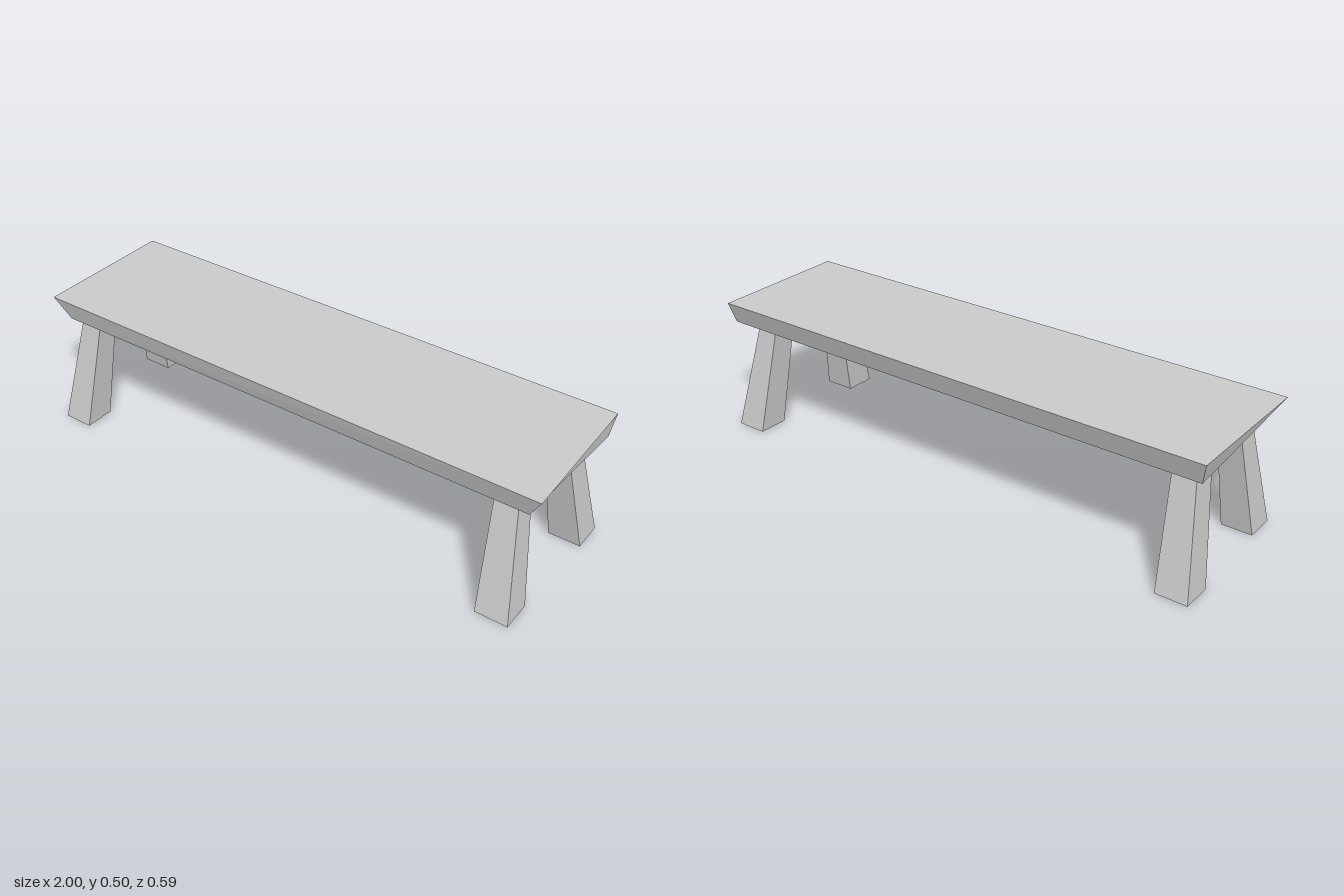
import * as THREE from 'three';

const material = new THREE.MeshStandardMaterial({ color: 0xcccccc, flatShading: true });

// Six-sided block between two quads of [x, z] corners,
// each listed back-left, back-right, front-right, front-left (by x).
function block(name, lower, y0, upper, y1) {
  const geometry = new THREE.BoxGeometry(1, 1, 1);
  const pos = geometry.attributes.position;
  for (let i = 0; i < pos.count; i++) {
    const right = pos.getX(i) > 0, front = pos.getZ(i) > 0, top = pos.getY(i) > 0;
    const [x, z] = (top ? upper : lower)[front ? (right ? 2 : 3) : (right ? 1 : 0)];
    pos.setXYZ(i, x, top ? y1 : y0, z);
  }
  geometry.computeVertexNormals();
  const mesh = new THREE.Mesh(geometry, material);
  mesh.name = name;
  return mesh;
}

// Corners of a rectangle
const rect = (x0, x1, z0, z1) => [[x0, z0], [x1, z0], [x1, z1], [x0, z1]];

export function createModel() {
  const group = new THREE.Group();
  group.name = 'bench';

  // Thick plank with bevelled, slightly irregular hand-cut edges
  group.add(block('seat',
    [[-0.98, -0.262], [0.98, -0.262], [0.955, 0.232], [-0.94, 0.232]], 0.417,
    [[-1, -0.288], [0.99, -0.288], [1, 0.256], [-1, 0.252]], 0.497));

  // Splayed, tapered legs: foot x range, top x range, then z ranges
  const legs = [
    ['frontLeftLeg', [0.84, 0.96], [0.82, 0.903], [0.18, 0.296], [0.114, 0.196]],
    ['frontRightLeg', [-0.965, -0.85], [-0.912, -0.828], [0.18, 0.296], [0.114, 0.196]],
    ['backLeftLeg', [0.858, 0.977], [0.835, 0.917], [-0.296, -0.18], [-0.198, -0.106]],
    ['backRightLeg', [-0.985, -0.868], [-0.93, -0.847], [-0.296, -0.18], [-0.198, -0.106]],
  ];
  for (const [name, footX, topX, footZ, topZ] of legs) {
    group.add(block(name, rect(...footX, ...footZ), 0, rect(...topX, ...topZ), 0.42));
  }
  return group;
}
